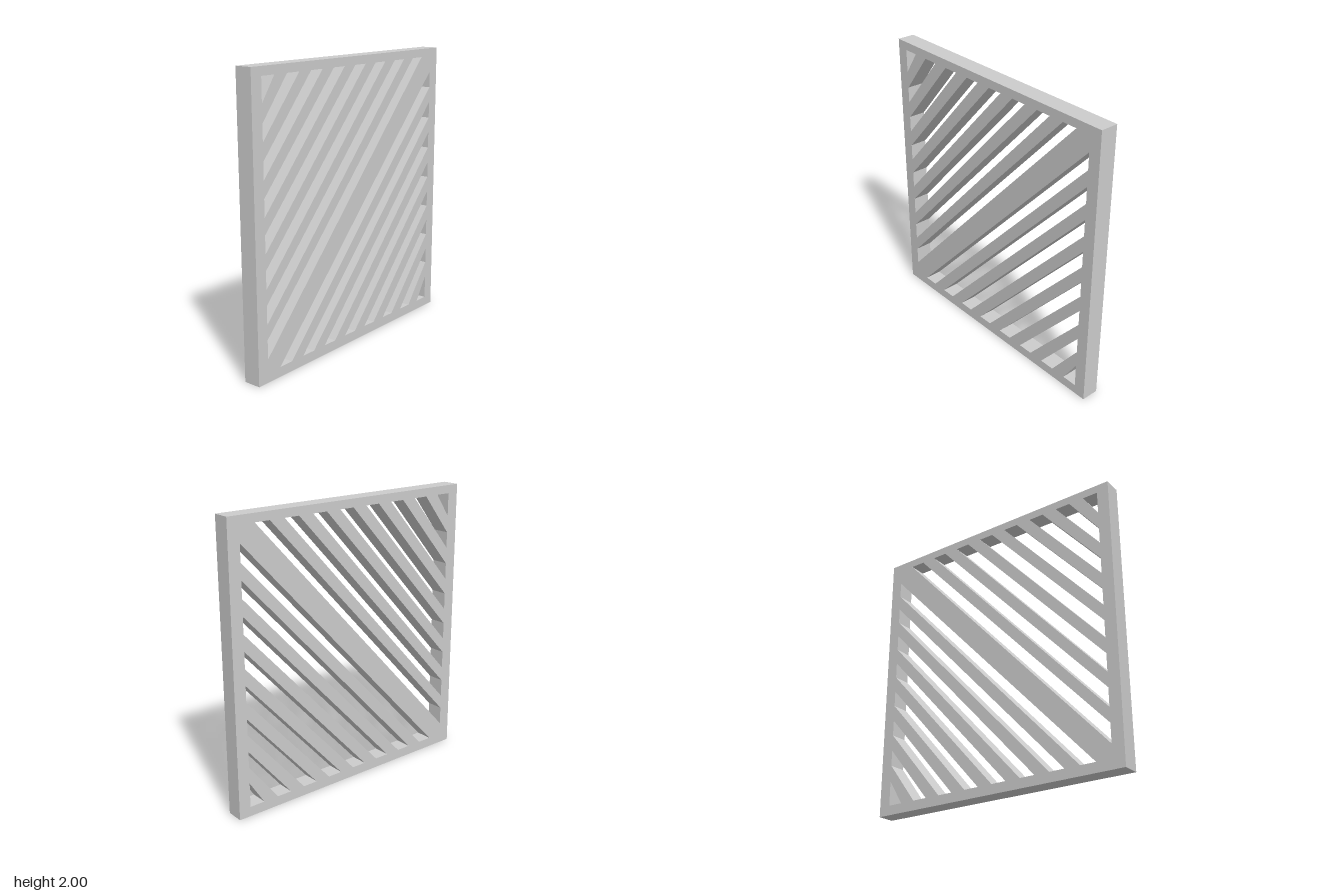
import * as THREE from 'three';

const W = 0.965, H = 2, DEPTH = 0.124;
const EDGE = 0.88, TOP = 1.942, BOTTOM = 0.068;
const SLOTS = 8, GAP = 0.11;

// closed outline through [x, y] points
function outline(points, Type) {
  const path = new Type();
  points.forEach(([x, y], i) => (i ? path.lineTo(x, y) : path.moveTo(x, y)));
  path.closePath();
  return path;
}

export function createModel() {
  const group = new THREE.Group();
  group.name = 'slattedPanel';

  // rectangular frame and slats in one plate
  const plate = outline([[-W, 0], [W, 0], [W, H], [-W, H]], THREE.Shape);

  for (let i = 0; i < SLOTS; i++) {
    // slot fanning from the top edge to the left edge; the first is a corner triangle
    const x = -EDGE + 2 * GAP * i;
    const upper = [[x, TOP], [x + GAP, TOP], [-EDGE, 1.78 - 0.2314 * i]];
    if (i > 0) upper.push([-EDGE, 1.89 - 0.2286 * i]);
    plate.holes.push(outline(upper, THREE.Path));

    // slot fanning from the bottom edge to the right edge
    const lower = [[-x, BOTTOM], [-x - GAP, BOTTOM], [EDGE, 0.24 + 0.2272 * i]];
    if (i > 0) lower.push([EDGE, 0.129 + 0.2265 * i]);
    plate.holes.push(outline(lower, THREE.Path));
  }

  const geometry = new THREE.ExtrudeGeometry(plate, { depth: DEPTH, bevelEnabled: false });
  geometry.translate(0, 0, -DEPTH / 2);
  const panel = new THREE.Mesh(geometry, new THREE.MeshStandardMaterial({ color: 0xcccccc, flatShading: true }));
  panel.name = 'slottedPlate';
  group.add(panel);
  return group;
}
